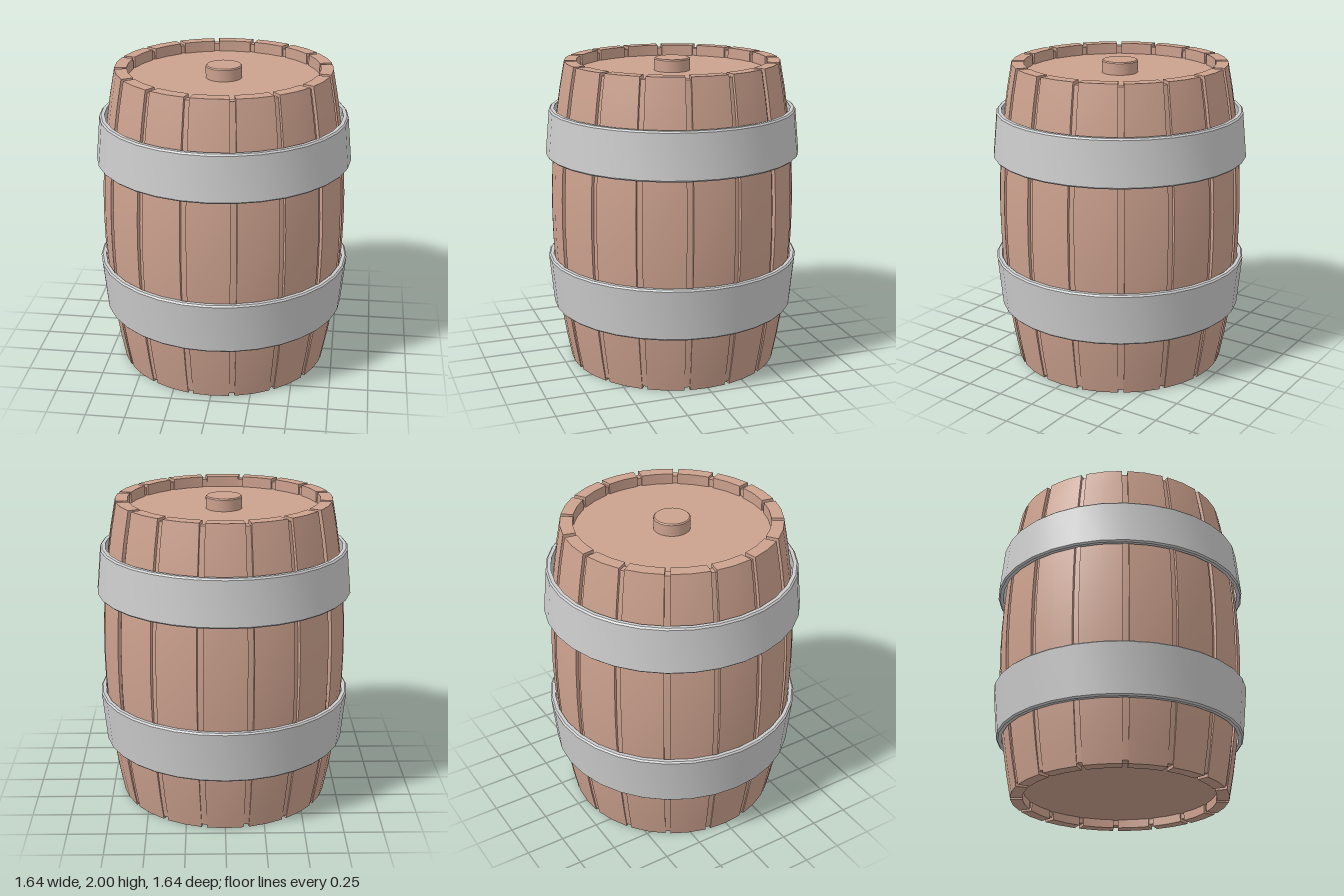
import * as THREE from 'three';
import { toCreasedNormals } from 'three/addons/utils/BufferGeometryUtils.js';

const STAVES = 16, SIDES = 32, TOP = 1.99;
const INNER = 0.61;
const wood = new THREE.MeshStandardMaterial({ color: 0xcca18e });
const metal = new THREE.MeshStandardMaterial({ color: 0xcccccc });

// Bulging outer radius of the barrel at height y
const bulge = (y) => 0.79 - 0.104 * (y - 1) ** 2;

function addMesh(parent, name, geometry, material) {
  const mesh = new THREE.Mesh(geometry, material);
  mesh.name = name;
  parent.add(mesh);
  return mesh;
}

// Closed profile of [radius, y] pairs, revolved with sharp rims
function ring(points) {
  const profile = [...points, points[0]].map(([r, y]) => new THREE.Vector2(r, y));
  return toCreasedNormals(new THREE.LatheGeometry(profile, SIDES), 0.5);
}

// One plank: a box bent around the axis, its outer face following the bulge
function staveGeometry() {
  const geometry = new THREE.BoxGeometry(1, 1, 1, 2, 12, 1);
  const p = geometry.attributes.position;
  const width = (2 * Math.PI) / STAVES - 0.05;
  for (let i = 0; i < p.count; i++) {
    const angle = p.getX(i) * width;
    const y = (p.getY(i) + 0.5) * TOP;
    const r = p.getZ(i) > 0 ? bulge(y) : INNER;
    p.setXYZ(i, r * Math.sin(angle), y, r * Math.cos(angle));
  }
  geometry.computeVertexNormals();
  return geometry;
}

// Shell just behind the planks, seen as the floor of the grooves
function coreGeometry() {
  const points = [[INNER + 0.012, 1.97], [INNER + 0.012, 0.02]];
  for (let i = 0; i <= 12; i++) {
    const y = 0.02 + (1.95 * i) / 12;
    points.push([bulge(y) - 0.004 - 0.016 * Math.min(1, y), y]);
  }
  return ring(points);
}

// Tapered hoop with bevelled outer rims
function hoopGeometry(y0, y1, r0, r1) {
  const t = 0.033, b = 0.01;
  return ring([
    [r0 - t, y0], [r0 - b, y0], [r0, y0 + b],
    [r1, y1 - b], [r1 - b, y1], [r1 - t, y1],
  ]);
}

export function createModel() {
  const barrel = new THREE.Group();
  barrel.name = 'barrel';

  // Planks
  const staves = new THREE.Group();
  staves.name = 'staves';
  barrel.add(staves);
  const plank = staveGeometry();
  for (let i = 0; i < STAVES; i++) {
    addMesh(staves, 'stave', plank, wood).rotation.y = (i * 2 * Math.PI) / STAVES;
  }
  addMesh(barrel, 'grooveFloor', coreGeometry(), wood);

  // Recessed round ends
  const head = new THREE.CylinderGeometry(0.63, 0.63, 0.06, SIDES);
  addMesh(barrel, 'topHead', head, wood).position.y = 1.89;
  addMesh(barrel, 'bottomHead', head, wood).position.y = 0.085;

  // Plug in the top
  const plug = toCreasedNormals(ring([[0, 1.9], [0.115, 1.9], [0.115, 1.993], [0.108, 2], [0, 2]]), 0.5);
  addMesh(barrel, 'plug', plug, wood);

  // Metal hoops, narrowing towards the ends
  addMesh(barrel, 'upperHoop', hoopGeometry(1.39, 1.69, 0.82, 0.793), metal);
  addMesh(barrel, 'lowerHoop', hoopGeometry(0.38, 0.72, 0.79, 0.82), metal);

  return barrel;
}
